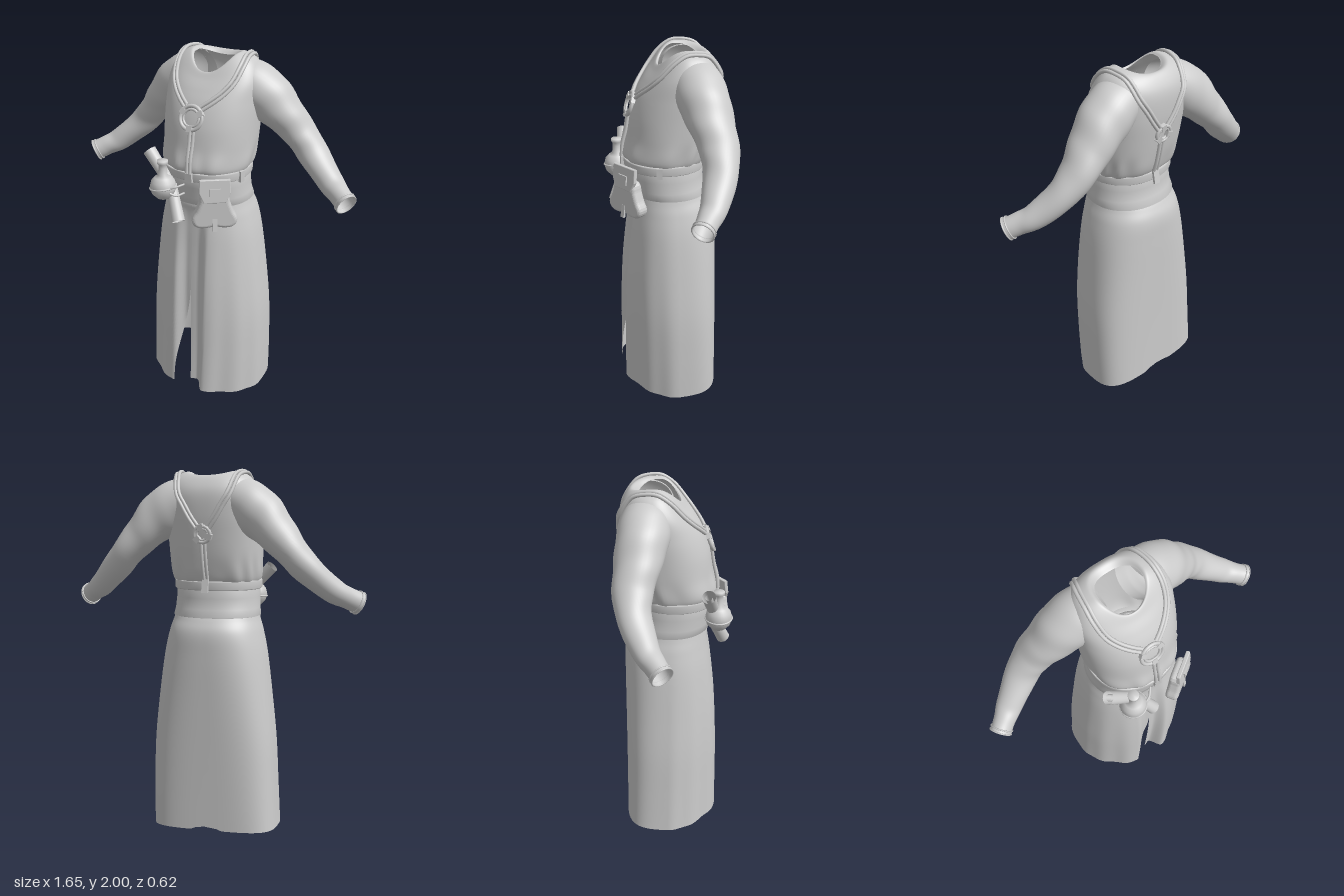
import * as THREE from 'three';

const V = (x, y, z) => new THREE.Vector3(x, y, z);
const cloth = new THREE.MeshStandardMaterial({ color: 0xcccccc, side: THREE.DoubleSide });

function add(parent, name, geo, pos = [0, 0, 0], rot = [0, 0, 0]) {
  const m = new THREE.Mesh(geo, cloth);
  m.name = name;
  m.position.set(...pos);
  m.rotation.set(...rot);
  parent.add(m);
  return m;
}

// Surface from a rule point(angle, t), t running 0..1; closed joins the last column to the first
function loft(point, nu, nv, closed = true) {
  const pos = [], idx = [], cols = closed ? nu : nu + 1;
  for (let j = 0; j <= nv; j++)
    for (let i = 0; i < cols; i++) pos.push(...point((i / nu) * Math.PI * 2, j / nv).toArray());
  for (let j = 0; j < nv; j++)
    for (let i = 0; i < nu; i++) {
      const a = j * cols + i, b = j * cols + ((i + 1) % cols), c = b + cols, d = a + cols;
      idx.push(a, b, c, a, c, d);
    }
  const g = new THREE.BufferGeometry();
  g.setAttribute('position', new THREE.Float32BufferAttribute(pos, 3));
  g.setIndex(idx);
  g.computeVertexNormals();
  return g;
}

// Smooth interpolation through rows of numbers
function sample(rows, t) {
  const n = rows.length - 1, f = Math.min(t * n, n - 1e-6), i = Math.floor(f), u = f - i;
  const at = (k) => rows[Math.max(0, Math.min(n, k))];
  return rows[i].map((_, k) => {
    const p0 = at(i - 1)[k], p1 = at(i)[k], p2 = at(i + 1)[k], p3 = at(i + 2)[k];
    return p1 + 0.5 * u * (p2 - p0 + u * (2 * p0 - 5 * p1 + 4 * p2 - p3 + u * (3 * (p1 - p2) + p3 - p0)));
  });
}

// Oval cross-section: half width, front z, back z, squareness, z of the widest point
function oval(a, y, rx, zf, zb, power = 2.15, zc = (zf + zb) / 2) {
  const pw = (v) => Math.sign(v) * Math.abs(v) ** (2 / power);
  const c = Math.cos(a);
  return V(rx * pw(Math.sin(a)), y, zc + (c > 0 ? zf - zc : zc - zb) * pw(c));
}

const tube = (pts, r, seg = 40) => new THREE.TubeGeometry(new THREE.CatmullRomCurve3(pts), seg, r, 8);

// Open cylinder between two points
function rod(parent, name, a, b, r1, r2) {
  const d = b.clone().sub(a);
  const m = add(parent, name, new THREE.CylinderGeometry(r2, r1, d.length(), 20, 1, true));
  m.position.copy(a).addScaledVector(d, 0.5);
  m.quaternion.setFromUnitVectors(V(0, 1, 0), d.normalize());
}

export function createModel() {
  const robe = new THREE.Group();
  robe.name = 'robe';

  // Torso: front y, side y, back y, half width, front z, back z
  const torsoRows = [
    [1.38, 1.38, 1.38, 0.218, 0.18, -0.2], [1.43, 1.43, 1.43, 0.242, 0.213, -0.235],
    [1.53, 1.53, 1.53, 0.252, 0.192, -0.262], [1.65, 1.65, 1.65, 0.257, 0.172, -0.282],
    [1.75, 1.76, 1.76, 0.26, 0.137, -0.295], [1.82, 1.87, 1.86, 0.255, 0.092, -0.295],
    [1.87, 1.955, 1.92, 0.21, 0.05, -0.275], [1.9, 1.99, 1.965, 0.14, 0.025, -0.235],
    [1.892, 1.978, 1.945, 0.114, 0.015, -0.195],
  ];
  const torso = add(robe, 'torso', loft((a, t) => {
    const [yf, ys, yb, rx, zf, zb] = sample(torsoRows, t);
    const c = Math.cos(a), y = ys + ((c > 0 ? yf : yb) - ys) * c * c;
    const wrinkle = 1 + 0.02 * Math.sin(11 * a + 2 * Math.sin(3 * a)) * Math.exp(-(((y - 1.45) / 0.07) ** 2));
    return oval(a, y, rx * wrinkle, zf * wrinkle, zb * wrinkle, c > 0 ? 2.1 : 2.4);
  }, 96, 64));

  // Sleeves: centre x, y, z, height radius, depth radius
  const armRows = [
    [0.1, 1.87, -0.14, 0.1, 0.115], [0.19, 1.825, -0.15, 0.125, 0.132], [0.28, 1.757, -0.165, 0.128, 0.13],
    [0.37, 1.668, -0.185, 0.103, 0.116], [0.455, 1.575, -0.2, 0.085, 0.1], [0.54, 1.48, -0.185, 0.076, 0.086],
    [0.66, 1.375, -0.127, 0.064, 0.07], [0.73, 1.335, -0.08, 0.057, 0.057], [0.785, 1.305, -0.042, 0.058, 0.052],
  ];
  const armFrame = (t) => {
    const p = sample(armRows, t), q0 = sample(armRows, Math.max(0, t - 0.01)), q1 = sample(armRows, Math.min(1, t + 0.01));
    const dir = V(q1[0] - q0[0], q1[1] - q0[1], q1[2] - q0[2]).normalize();
    const side = V(0, 1, 0).cross(dir).normalize();
    return { c: V(p[0], p[1], p[2]), side, up: dir.clone().cross(side), rv: p[3], ru: p[4] };
  };
  const armPoint = (a, t, grow = 1) => {
    const f = armFrame(t);
    const w = grow * (1 + 0.02 * Math.sin(2 * a + 40 * t) * Math.sin(Math.PI * t));
    return f.c.clone().addScaledVector(f.side, Math.cos(a) * f.ru * w).addScaledVector(f.up, Math.sin(a) * f.rv * w);
  };
  const sleeves = [];
  for (const s of [1, -1]) {
    const side = new THREE.Group();
    side.name = s > 0 ? 'leftSleeve' : 'rightSleeve';
    side.scale.x = s;
    robe.add(side);
    sleeves.push(add(side, 'sleeve', loft((a, t) => armPoint(a, t), 40, 64)));
    // Cuff band with a fine raised edge at each end
    add(side, 'cuff', loft((a, t) => armPoint(a, 0.955 + 0.045 * t, 1.05), 40, 6));
    for (const t of [0.955, 0.995]) {
      const ring = Array.from({ length: 24 }, (_, i) => armPoint((i / 24) * Math.PI * 2, t, 1.05));
      add(side, 'cuffEdge', new THREE.TubeGeometry(new THREE.CatmullRomCurve3(ring, true), 48, 0.004, 6, true));
    }
  }

  // Skirt, broad behind and tapering forward, slit low at the front: y, half width, front z, back z
  const skirtRows = [
    [0.02, 0.358, 0.255, -0.292], [0.27, 0.352, 0.25, -0.29], [0.52, 0.342, 0.243, -0.289], [0.76, 0.318, 0.228, -0.289],
    [1.0, 0.288, 0.2, -0.289], [1.13, 0.262, 0.18, -0.284], [1.2, 0.242, 0.172, -0.256], [1.27, 0.225, 0.165, -0.21],
  ];
  add(robe, 'skirt', loft((u, t) => {
    const [y, rx, zf, zb] = sample(skirtRows, t);
    const a = u * (1 - 0.048 * THREE.MathUtils.smoothstep(0.75 - y, 0, 0.7));
    const drop = THREE.MathUtils.clamp((1.2 - y) / 1.2, 0, 1);
    const front = Math.max(0, Math.cos(a));
    const p = oval(a, y, rx, zf, zb, front > 0 ? 2.1 - 0.4 * drop : 2.15 + 1.75 * drop ** 0.8, -0.035 - 0.01 * drop);
    const fold = 1 + drop * 0.025 * Math.cos(13 * a + 0.6) * front;
    p.x *= fold;
    p.z *= fold;
    const pleat = 1 - THREE.MathUtils.smoothstep(Math.abs(p.x - 0.005), 0.03, 0.1);
    if (p.z > 0) p.z -= pleat * 0.08 * Math.pow(drop, 0.6);
    p.x -= 0.018 * drop ** 3;
    p.y += (1 - t) ** 6 * (-0.003 - 0.045 * p.x + 0.02 * pleat + 0.25 * p.z * p.z);
    return p;
  }, 200, 60, false));

  // Sash and belt: y, half width, front z, back z
  const band = (name, rows) => add(robe, name, loft((a, t) => oval(a, ...rows[Math.round(t * (rows.length - 1))]), 96, rows.length - 1));
  band('sash', [[1.215, 0.23, 0.16, -0.235], [1.22, 0.243, 0.178, -0.251], [1.26, 0.237, 0.182, -0.23],
    [1.32, 0.232, 0.19, -0.222], [1.39, 0.232, 0.2, -0.222], [1.4, 0.215, 0.175, -0.2]]);
  band('belt', [[1.365, 0.225, 0.19, -0.21], [1.365, 0.236, 0.207, -0.23], [1.37, 0.241, 0.211, -0.234],
    [1.408, 0.243, 0.214, -0.236], [1.414, 0.238, 0.21, -0.232], [1.414, 0.22, 0.19, -0.21]]);
  add(robe, 'beltClip', new THREE.BoxGeometry(0.03, 0.06, 0.016), oval(1.3, 1.385, 0.245, 0.214, -0.236).toArray(), [0, 1.3, 0]);

  // Harness: find cloth points along a direction, then lay twin cords on them
  robe.updateMatrixWorld(true);
  const ray = new THREE.Raycaster();
  const project = (x, k, from) => {
    const dir = from === 'top' ? V(0, -1, 0) : V(0, 0, from === 'front' ? -1 : 1);
    ray.set(from === 'top' ? V(x, 3, k) : V(x, k, -3 * dir.z), dir);
    const hit = ray.intersectObjects([torso, ...sleeves])[0];
    const n = hit.face.normal.clone();
    if (hit.object.parent.scale.x < 0) n.x *= -1;
    if (n.dot(dir) > 0) n.negate();
    return { p: hit.point.clone().addScaledVector(n, 0.009), n };
  };
  const cords = (name, list) => {
    const path = list.map((q) => project(...q));
    for (const s of [-1, 1])
      add(robe, name, tube(path.map(({ p, n }, i) => {
        const d = path[Math.min(i + 1, path.length - 1)].p.clone().sub(path[Math.max(i - 1, 0)].p);
        return p.clone().addScaledVector(d.cross(n).normalize(), s * 0.01);
      }), 0.0095, 64));
  };
  for (const s of [1, -1])
    cords('shoulderStrap', [[0.045, 1.745, 'front'], [0.085, 1.775, 'front'], [0.13, 1.815, 'front'], [0.165, 1.865, 'front'],
      [0.182, -0.03, 'top'], [0.18, -0.09, 'top'], [0.173, -0.15, 'top'], [0.16, -0.21, 'top'],
      [0.135, 1.87, 'back'], [0.1, 1.81, 'back'], [0.065, 1.75, 'back'], [0.03, 1.7, 'back']].map(([x, k, f]) => [s * x, k, f]));
  cords('frontStrap', [1.64, 1.56, 1.48, 1.42].map((y) => [0.01, y, 'front']));
  cords('backStrap', [1.63, 1.55, 1.48, 1.43].map((y) => [0, y, 'back']));
  add(robe, 'backStrapEnd', new THREE.BoxGeometry(0.035, 0.09, 0.014), [0, 1.4, -0.25], [0.2, 0, 0]);
  add(robe, 'frontStrapEnd', new THREE.BoxGeometry(0.04, 0.05, 0.016), [0.01, 1.39, 0.218]);
  for (const [name, y, r, from] of [['frontRing', 1.695, 0.062, 'front'], ['backRing', 1.665, 0.042, 'back']]) {
    const { p, n } = project(0, y, from);
    const ring = new THREE.Group();
    ring.name = name;
    ring.position.copy(p).addScaledVector(n, 0.004);
    ring.quaternion.setFromUnitVectors(V(0, 0, 1), n);
    robe.add(ring);
    add(ring, 'outerRing', new THREE.TorusGeometry(r, 0.01, 8, 40));
    add(ring, 'innerRing', new THREE.TorusGeometry(r * 0.72, 0.007, 8, 32));
    for (let i = 0; i < 3; i++) {
      const a = Math.PI / 6 + (i * 2 * Math.PI) / 3;
      add(ring, 'ringTab', new THREE.BoxGeometry(0.032, 0.03, 0.022), [r * 0.9 * Math.cos(a), r * 0.9 * Math.sin(a), 0], [0, 0, a]);
    }
  }

  // Pouch on the left hip
  const pouch = new THREE.Group();
  pouch.name = 'pouch';
  pouch.position.set(0.148, 1.22, 0.195);
  pouch.rotation.y = 0.6;
  robe.add(pouch);
  const points = (list) => list.map((p) => new THREE.Vector2(...p));
  const bevel = (depth, size) => ({ depth, bevelEnabled: true, bevelSize: size, bevelThickness: size, bevelSegments: 5 });
  const bag = new THREE.Shape(new THREE.SplineCurve(points([[0, 0.1], [0.05, 0.095], [0.062, 0.06], [0.08, 0.01], [0.1, -0.03],
    [0.085, -0.055], [0.045, -0.058], [0, -0.05], [-0.045, -0.058], [-0.085, -0.055], [-0.1, -0.03], [-0.08, 0.01],
    [-0.062, 0.06], [-0.05, 0.095], [0, 0.1]])).getPoints(56));
  add(pouch, 'pouchBag', new THREE.ExtrudeGeometry(bag, bevel(0.03, 0.02)), [0, 0, 0.005]);
  const flap = new THREE.Shape(points([[-0.075, 0.185], [0.075, 0.185], [0.078, 0.12], [0.055, 0.07], [-0.055, 0.07], [-0.078, 0.12]]));
  add(pouch, 'pouchFlap', new THREE.ExtrudeGeometry(flap, bevel(0.012, 0.005)), [0, 0.005, 0.05], [-0.12, 0, 0]);
  add(pouch, 'pouchBuckle', new THREE.BoxGeometry(0.06, 0.05, 0.014), [0, 0.125, 0.054], [-0.12, 0, 0]);
  add(pouch, 'pouchTab', new THREE.BoxGeometry(0.024, 0.07, 0.012), [0, -0.055, 0.055], [-0.15, 0, 0]);

  // Round flask on the right hip
  const flask = new THREE.Group();
  flask.name = 'flask';
  flask.position.set(-0.145, 1.31, 0.225);
  robe.add(flask);
  add(flask, 'flaskBody', new THREE.LatheGeometry(points([[0, -0.072], [0.035, -0.063], [0.062, -0.036], [0.072, 0], [0.064, 0.034],
    [0.045, 0.056], [0.026, 0.068], [0.022, 0.11], [0.022, 0.128], [0.029, 0.132], [0.029, 0.15], [0, 0.15]]), 32));
  add(flask, 'flaskBand', new THREE.TorusGeometry(0.071, 0.005, 8, 40), [0, 0, 0], [Math.PI / 2, 0.15, 0]);
  for (const y of [0.02, -0.03])
    add(flask, 'flaskTie', tube([V(0.06, y * 0.6, 0.03), V(0.09, y, 0.015), V(0.12, y + 0.01, -0.02)], 0.006, 16));

  // Rolled scrolls tucked beside the flask
  rod(robe, 'upperScroll', V(-0.12, 1.33, 0.2), V(-0.26, 1.475, 0.17), 0.03, 0.036);
  rod(robe, 'upperScrollCore', V(-0.12, 1.33, 0.2), V(-0.257, 1.472, 0.17), 0.015, 0.018);
  rod(robe, 'lowerScroll', V(-0.11, 1.29, 0.19), V(-0.035, 1.14, 0.255), 0.03, 0.036);

  return robe;
}
